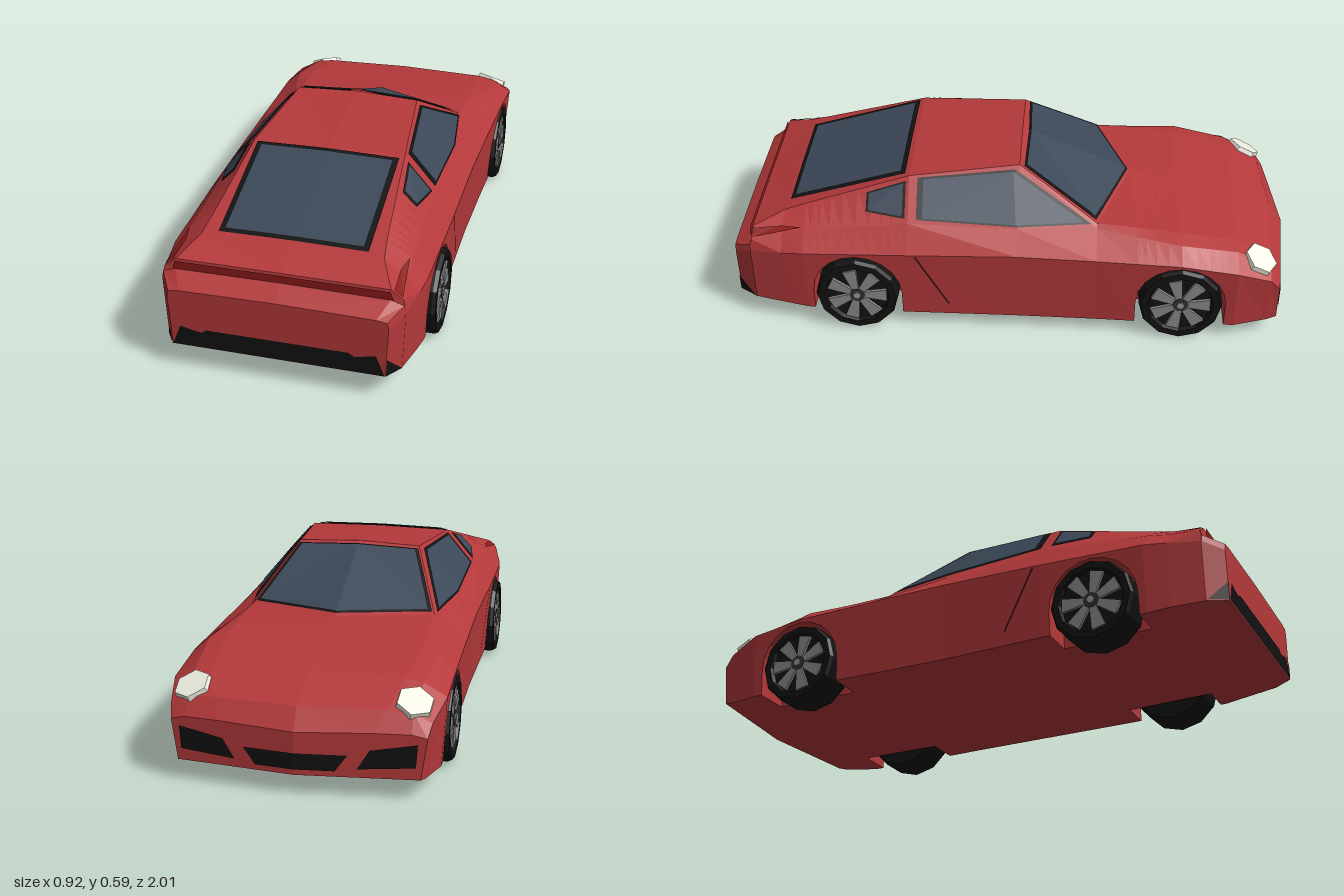
import * as THREE from 'three';

const RED = 0xb5393b, DARK_RED = 0x8a1a1a, BLACK = 0x121212, GLASS = 0x3c4858;
const WHEEL_Z = [0.555, -0.605], WHEEL_Y = 0.15, ARCH_R = 0.16;

// Body stations from tail (+z) to nose (-z):
// z, floorY, sillX, shoulderX, shoulderY, beltX, beltY, railX, railY, centreY, bow, bowWidth
const STATIONS = [
  [1.0, 0.09, 0.36, 0.37, 0.27, 0.365, 0.295, 0.33, 0.30, 0.305, 0, 0.33],
  [0.935, 0.085, 0.40, 0.41, 0.30, 0.405, 0.325, 0.36, 0.34, 0.345, 0, 0.33],
  [0.93, 0.085, 0.40, 0.41, 0.30, 0.40, 0.345, 0.36, 0.375, 0.376, 0, 0.33],
  [0.82, 0.078, 0.42, 0.43, 0.31, 0.385, 0.365, 0.31, 0.415, 0.418, 0, 0.33],
  [0.74, 0.07, 0.43, 0.44, 0.317, 0.385, 0.38, 0.30, 0.44, 0.444, 0, 0.33],
  [0.37, 0.06, 0.43, 0.445, 0.327, 0.38, 0.42, 0.27, 0.55, 0.555, 0, 0.33],
  [-0.02, 0.055, 0.425, 0.445, 0.335, 0.375, 0.405, 0.225, 0.58, 0.59, 0, 0.225],
  [-0.3, 0.055, 0.43, 0.45, 0.33, 0.345, 0.395, 0.33, 0.41, 0.418, -0.12, 0.33],
  [-0.6, 0.055, 0.44, 0.457, 0.322, 0.40, 0.372, 0.34, 0.385, 0.39, 0, 0.33],
  [-0.8, 0.055, 0.44, 0.457, 0.295, 0.38, 0.338, 0.32, 0.348, 0.356, 0, 0.33],
  [-0.92, 0.062, 0.41, 0.43, 0.25, 0.37, 0.28, 0.28, 0.285, 0.285, -0.03, 0.42],
  [-0.955, 0.07, 0.40, 0.42, 0.21, 0.37, 0.222, 0.25, 0.222, 0.215, -0.045, 0.42],
];

function stationAt(z) {
  let i = 0;
  while (i < STATIONS.length - 2 && z < STATIONS[i + 1][0]) i++;
  const a = STATIONS[i], b = STATIONS[i + 1], t = (z - a[0]) / (b[0] - a[0]);
  return a.map((v, k) => v + (b[k] - v) * t);
}

// Half cross-section, from floor centre round the +x side to the top centre
function halfSection(row, archY = row[1]) {
  const [z, floor, sx, shX, shY, bX, bY, rX, rY, cY, bow, bowW] = row;
  const sideX = sx + (shX - sx) * (archY - floor) / (shY - floor);
  return [[0, floor], [0.31, floor], [0.31, archY], [sideX, archY], [shX, shY], [bX, bY], [rX, rY], [0, cY]]
    .map(([x, y]) => new THREE.Vector3(x, y, z + bow * Math.max(0, 1 - x / bowW)));
}

// Point on the body skin at z, a fraction t of the way from section point k to k + 1
function skin(z, k, t) {
  const s = halfSection(stationAt(z));
  return s[k].clone().lerp(s[k + 1], t);
}

const flip = (p) => new THREE.Vector3(-p.x, p.y, p.z);
const material = (color, side = THREE.FrontSide) => new THREE.MeshStandardMaterial({ color, flatShading: true, side });

function triangleMesh(name, tris, color, side) {
  const g = new THREE.BufferGeometry().setFromPoints(tris);
  g.computeVertexNormals();
  const m = new THREE.Mesh(g, material(color, side));
  m.name = name;
  return m;
}

function makeBody() {
  const rows = STATIONS.map((r) => ({ z: r[0], y: undefined }));
  // Extra sections that raise the sill over each wheel
  for (const wz of WHEEL_Z) {
    rows.push({ z: wz + ARCH_R, y: undefined });
    for (let i = 0; i <= 10; i++) {
      const a = Math.PI * i / 10;
      rows.push({ z: wz + ARCH_R * Math.cos(a), y: WHEEL_Y + ARCH_R * Math.sin(a) });
    }
    rows.push({ z: wz - ARCH_R, y: undefined });
  }
  // A regular station falling inside an arch takes the arch height
  for (const r of rows) for (const wz of WHEEL_Z) {
    const d = Math.abs(r.z - wz);
    if (r.y === undefined && d < ARCH_R - 1e-6) r.y = WHEEL_Y + Math.sqrt(ARCH_R ** 2 - d * d);
  }
  rows.sort((a, b) => (Math.abs(b.z - a.z) < 1e-9 ? 0 : b.z - a.z));
  const rings = rows.map(({ z, y }) => {
    const half = halfSection(stationAt(z), y);
    return [...half, ...half.slice(1, -1).reverse().map(flip)];
  });
  const tris = [], n = rings[0].length;
  for (let i = 0; i < rings.length - 1; i++) for (let j = 0; j < n; j++) {
    const k = (j + 1) % n, a = rings[i][j], b = rings[i][k], c = rings[i + 1][k], d = rings[i + 1][j];
    if (j < n / 2) tris.push(a, d, b, b, d, c);
    else tris.push(a, d, c, a, c, b);
  }
  // Tail and nose caps
  const tail = new THREE.Vector3(0, 0.2, 1), nose = new THREE.Vector3(0, 0.14, -1);
  const first = rings[0], last = rings[rings.length - 1];
  for (let j = 0; j < n; j++) {
    const k = (j + 1) % n;
    tris.push(tail, first[j], first[k], nose, last[k], last[j]);
  }
  return triangleMesh('body', tris, RED);
}

// Mirrored pair of flat panels lying just off the skin; inset shrinks towards a centre
function panelPair(name, pts, color, lift = 0.004, inset = 0, joined = false) {
  const group = new THREE.Group();
  group.name = name;
  const centre = pts.reduce((s, p) => s.add(p), new THREE.Vector3()).divideScalar(pts.length);
  const normal = new THREE.Vector3();
  pts.forEach((p, i) => normal.add(p.clone().sub(centre).cross(pts[(i + 1) % pts.length].clone().sub(centre))));
  normal.normalize();
  if (normal.dot(centre.clone().sub(new THREE.Vector3(0, 0.2, 0))) < 0) normal.negate();
  const to = centre.clone();
  if (joined) { to.x = 0; normal.x = 0; }
  const out = pts.map((p) => p.clone().lerp(to, inset).addScaledVector(normal, lift));
  for (const q of [out, out.map(flip)]) {
    const tris = [];
    for (let i = 1; i < q.length - 1; i++) tris.push(q[0], q[i], q[i + 1]);
    group.add(triangleMesh(name + 'Panel', tris, color, THREE.DoubleSide));
  }
  return group;
}

function windowPair(name, pts, inset, joined) {
  const g = new THREE.Group();
  g.name = name;
  g.add(panelPair(name + 'Frame', pts, BLACK, 0.004, 0, joined), panelPair(name + 'Glass', pts, GLASS, 0.008, inset, joined));
  return g;
}

function makeWheel() {
  const wheel = new THREE.Group();
  wheel.name = 'wheel';
  const profile = [[0, -0.068], [0.142, -0.068], [0.149, -0.055], [0.149, 0.055], [0.142, 0.068], [0.118, 0.068], [0.112, 0.052], [0, 0.052]];
  const add = (name, geo, color) => {
    const m = new THREE.Mesh(geo, material(color));
    m.name = name;
    wheel.add(m);
    return m;
  };
  add('tyre', new THREE.LatheGeometry(profile.map((p) => new THREE.Vector2(...p)), 12), BLACK);
  // Seven flared spokes
  const s = new THREE.Shape([[-0.012, 0.025], [0.012, 0.025], [0.025, 0.106], [-0.025, 0.106]].map((p) => new THREE.Vector2(...p)));
  const spokeGeo = new THREE.ExtrudeGeometry(s, { depth: 0.012, bevelEnabled: false }).rotateX(-Math.PI / 2).translate(0, 0.051, 0);
  for (let i = 0; i < 7; i++) add('spoke', spokeGeo, 0x888888).rotation.y = i * Math.PI * 2 / 7;
  add('hub', new THREE.CylinderGeometry(0.028, 0.03, 0.014, 10).translate(0, 0.058, 0), 0x333333);
  add('hubCap', new THREE.CylinderGeometry(0.014, 0.014, 0.006, 8).translate(0, 0.067, 0), 0x999999);
  return wheel;
}

export function createModel() {
  const car = new THREE.Group();
  car.name = 'car';
  const V = (x, y, z) => new THREE.Vector3(x, y, z);
  car.add(makeBody());

  // Windows
  car.add(windowPair('windscreen', [skin(-0.035, 6, 1), skin(-0.035, 6, 0.03), skin(-0.292, 6, 0.02), skin(-0.292, 6, 1)], 0.04, true));
  const rearGlass = (z) => skin(z, 6, 1 - 0.255 / stationAt(z)[7]);
  car.add(windowPair('rearWindow', [skin(0.385, 6, 1), rearGlass(0.385), rearGlass(0.805), skin(0.805, 6, 1)], 0.07, true));
  car.add(windowPair('sideWindow', [skin(-0.005, 5, 0.93), skin(-0.28, 5, 0.5), skin(-0.02, 5, 0.03), skin(0.34, 5, 0.08), skin(0.34, 5, 0.94)], 0.08));
  car.add(windowPair('quarterWindow', [skin(0.38, 5, 0.9), skin(0.38, 5, 0.1), skin(0.52, 5, 0.37), skin(0.52, 5, 0.86)], 0.13));

  // Door seams
  car.add(panelPair('doorSeam', [skin(0.345, 3, 0.98), skin(0.337, 3, 0.98), skin(0.222, 3, 0.18), skin(0.23, 3, 0.18)], 0x3a1010, 0.002));

  // Nose openings
  const N = (x, y) => V(x, y, -1 + 0.107 * x);
  car.add(panelPair('centreIntake', [N(0, 0.09), N(0.13, 0.09), N(0.17, 0.145), N(0, 0.145)], BLACK, 0.004, 0, true));
  car.add(panelPair('sideIntake', [N(0.39, 0.19), N(0.385, 0.112), N(0.2, 0.1), N(0.24, 0.165)], BLACK));

  // Tail light strip, its side wraps, and the lower rear vent
  car.add(panelPair('tailLight', [V(0, 0.345, 0.936), V(0.37, 0.342, 0.936), V(0.36, 0.371, 0.936), V(0, 0.372, 0.936)], DARK_RED, 0.003, 0, true));
  car.add(panelPair('tailLightWrap', [skin(0.928, 5, 0.1), skin(0.928, 5, 0.8), skin(0.82, 5, 0.3), skin(0.75, 5, 0.1)], DARK_RED, 0.005));
  car.add(panelPair('rearVent', [V(0, 0.093, 1), V(0.358, 0.093, 1), V(0.33, 0.165, 1), V(0.26, 0.148, 1), V(0.24, 0.162, 1), V(0, 0.162, 1)], BLACK, 0.002, 0, true));
  car.add(panelPair('rearVentSide', [V(0.36, 0.092, 1), V(0.364, 0.155, 1), V(0.398, 0.09, 0.938)], BLACK, 0.003));

  // Headlights and wheels on both sides
  for (const side of [1, -1]) {
    const lamp = new THREE.Mesh(new THREE.CylinderGeometry(0.062, 0.066, 0.03, 6), material(0xf0f0e4));
    lamp.name = 'headlight';
    lamp.position.set(side * 0.365, 0.296, -0.88);
    lamp.quaternion.setFromUnitVectors(V(0, 1, 0), V(side * 0.28, 1, -0.5).normalize());
    car.add(lamp);
    for (const z of WHEEL_Z) {
      const wheel = makeWheel();
      wheel.position.set(side * 0.389, 0.149, z);
      wheel.rotation.z = -side * Math.PI / 2;
      car.add(wheel);
    }
  }
  return car;
}
